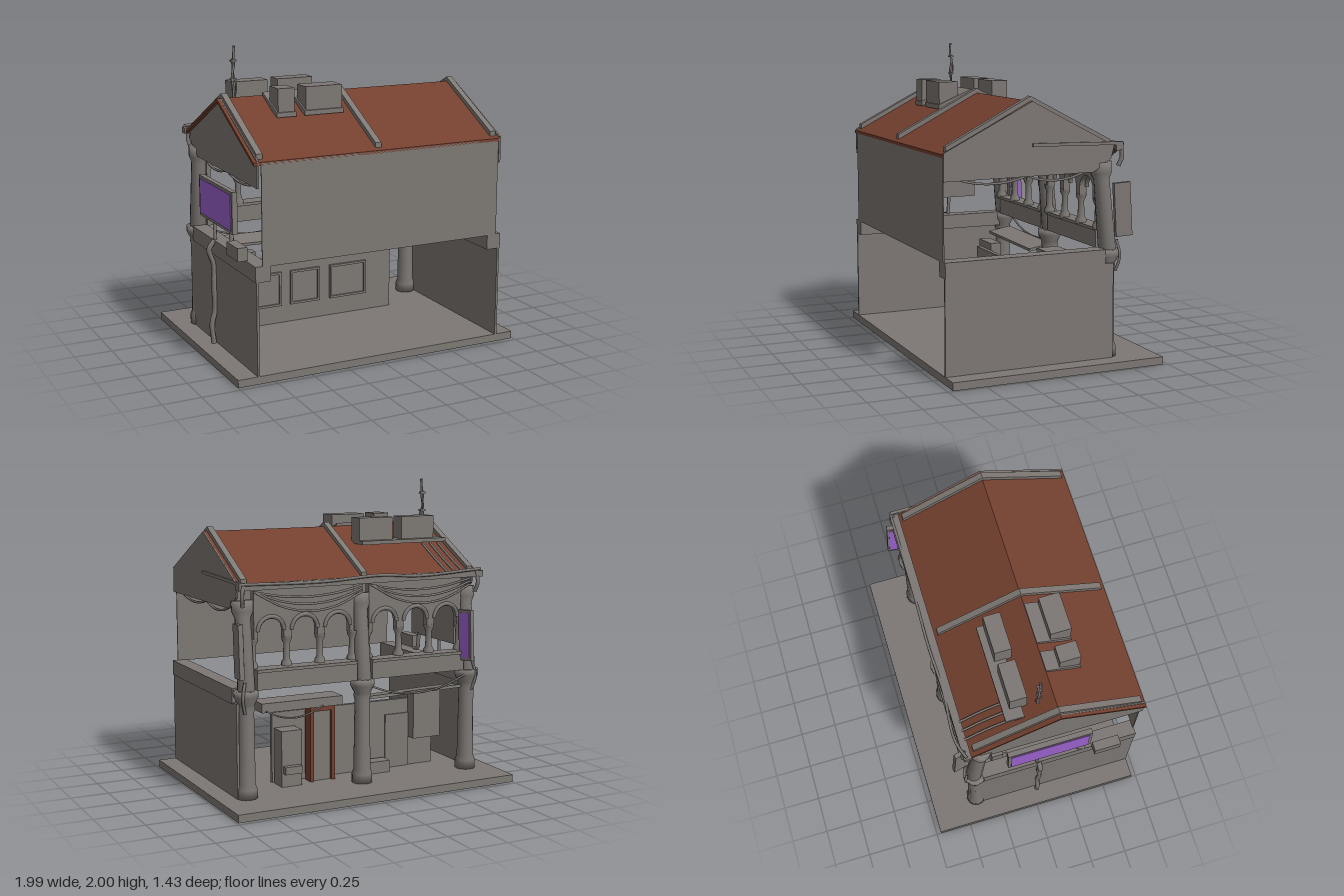
import * as THREE from 'three';

const mat = (name, color) => {
  const m = new THREE.MeshStandardMaterial({ color, side: THREE.DoubleSide });
  m.name = name;
  return m;
};

export function createModel() {
  const root = new THREE.Group();
  const grey = mat('stone grey', 0x7d7874);
  const brown = mat('roof brown', 0x74402f);
  const purple = mat('screen purple', 0x9a62cc);

  const add = (name, geo, m = grey) => {
    const mesh = new THREE.Mesh(geo, m);
    mesh.name = name;
    root.add(mesh);
    return mesh;
  };
  // box given by its limits on each axis
  const box = (name, x0, x1, y0, y1, z0, z1, m) => {
    const mesh = add(name, new THREE.BoxGeometry(x1 - x0, y1 - y0, z1 - z0), m);
    mesh.position.set((x0 + x1) / 2, (y0 + y1) / 2, (z0 + z1) / 2);
    return mesh;
  };
  // (z, y) outline extruded along x
  const slab = (name, pts, x0, x1, m) => {
    const s = new THREE.Shape(pts.map(p => new THREE.Vector2(...p)));
    const g = new THREE.ExtrudeGeometry(s, { depth: x1 - x0, bevelEnabled: false });
    g.rotateY(-Math.PI / 2).translate(x1, 0, 0);
    return add(name, g, m);
  };
  const tube = (name, pts, r = 0.008, m) => {
    const c = new THREE.CatmullRomCurve3(pts.map(p => new THREE.Vector3(...p)));
    return add(name, new THREE.TubeGeometry(c, pts.length * 5, r, 6), m);
  };
  const sag = (name, a, b, drop, r) => tube(name,
    [0, 0.25, 0.5, 0.75, 1].map(t => [
      a[0] + (b[0] - a[0]) * t,
      a[1] + (b[1] - a[1]) * t - drop * 4 * t * (1 - t),
      a[2] + (b[2] - a[2]) * t]), r);
  const lathe = (name, pts, x, y, z) => {
    const mesh = add(name, new THREE.LatheGeometry(pts.map(p => new THREE.Vector2(...p)), 12));
    mesh.position.set(x, y, z);
    return mesh;
  };

  // ground slab, side walls and their ledges
  box('groundSlab', -1, 0.99, 0, 0.05, -0.72, 0.715);
  for (const s of [-1, 1]) {
    const a = s * 0.855, b = s * 0.87;
    box('sideWall', Math.min(a, b), Math.max(a, b), 0.05, 0.66, -0.42, 0.715);
    box('sideLedge', s > 0 ? 0.775 : -0.875, s > 0 ? 0.875 : -0.775, 0.65, 0.75, -0.36, 0.715);
  }
  box('frontPanel', -0.83, 0.84, 0.745, 1.385, 0.707, 0.715);

  // roof, gables and roof ribs
  const chevron = (zf, zb, yf, yb, peak, t) => [
    [zf, yf], [0.14, peak], [zb, yb], [zb, yb - t], [0.14, peak - t], [zf, yf - t]];
  slab('roof', chevron(0.715, -0.44, 1.39, 1.39, 1.69, 0.02), -0.88, 0.85, brown);
  for (const x of [-0.83, -0.03, 0.81])
    slab('roofRib', chevron(0.69, -0.41, 1.435, 1.435, 1.72, 0.055), x - 0.02, x + 0.02);
  const gable = [[0.715, 1.23], [0.715, 1.4], [0.14, 1.69], [-0.42, 1.4], [-0.4, 1.32], [-0.28, 1.24]];
  slab('gableRight', gable, 0.845, 0.858);
  slab('gableLeft', gable, -0.858, -0.845);
  box('gutter', -0.89, 0.87, 1.37, 1.41, -0.48, -0.43);
  const pole = box('eavePole', 0.85, 0.87, 1.41, 1.43, -0.48, 0.14);
  pole.rotation.x = -0.02;

  // three tall columns, lower and upper part
  for (const x of [-0.82, -0.02, 0.8]) {
    lathe('lowerColumn', [[0, 0], [0.068, 0], [0.068, 0.06], [0.056, 0.09], [0.05, 0.55],
      [0.058, 0.58], [0.054, 0.6], [0.08, 0.65], [0.08, 0.69], [0, 0.69]], x, 0.05, -0.405);
    const up = lathe('upperColumn', [[0, 0], [0.056, 0], [0.05, 0.46], [0.068, 0.5],
      [0.07, 0.57], [0, 0.57]], x, 0.73, -0.41);
    up.rotation.x = 0.1;
  }

  // balcony beam and arcade in each bay
  for (const x0 of [-0.77, 0.04]) {
    const w = 0.7, n = 3, pitch = w / n, r = 0.09;
    box('balconyBeam', x0, x0 + w, 0.74, 0.85, -0.45, -0.36);
    box('balconyRail', x0, x0 + w, 0.85, 0.87, -0.46, -0.35);
    const s = new THREE.Shape();
    s.moveTo(x0, 1.05);
    for (let i = 0; i < n; i++) {
      const c = x0 + pitch * (i + 0.5);
      s.lineTo(c - r, 1.05);
      s.absarc(c, 1.1, r, Math.PI, 0, true);
      s.lineTo(c + r, 1.05);
      const ring = new THREE.TorusGeometry(r, 0.014, 6, 16, Math.PI);
      add('archMoulding', ring.translate(c, 1.1, -0.4));
    }
    s.lineTo(x0 + w, 1.05);
    s.lineTo(x0 + w, 1.38);
    s.lineTo(x0, 1.38);
    const g = new THREE.ExtrudeGeometry(s, { depth: 0.05, bevelEnabled: false, curveSegments: 10 });
    add('archWall', g.translate(0, 0, -0.4));
    for (let i = 0; i <= n; i++)
      lathe('smallColumn', [[0.035, 0], [0.035, 0.03], [0.022, 0.05], [0.02, 0.15],
        [0.034, 0.18], [0.034, 0.2]], x0 + pitch * i, 0.86, -0.375);
    for (let k = 0; k < 3; k++)
      sag('eaveCable', [x0 - 0.03, 1.36 - k * 0.02, -0.46], [x0 + w + 0.03, 1.36, -0.47 - k * 0.008], 0.05 + k * 0.035);
  }

  // inner wall with framed windows
  box('innerWall', -0.69, 0.52, 0.05, 0.52, -0.17, -0.14);
  for (const [a, b] of [[-0.57, -0.33], [-0.26, -0.04], [0.04, 0.32]]) {
    box('windowPane', a + 0.01, b - 0.01, 0.19, 0.4, -0.14, -0.135);
    for (const y of [0.175, 0.4]) box('windowFrame', a, b, y, y + 0.015, -0.14, -0.122);
    for (const x of [a, b - 0.015]) box('windowFrame', x, x + 0.015, 0.18, 0.41, -0.14, -0.122);
  }

  // objects behind the inner wall
  box('shutterBox', -0.71, -0.5, 0.25, 0.57, -0.25, -0.17);
  box('backDoor', -0.5, -0.32, 0.05, 0.42, -0.18, -0.17);
  box('floorCrate', -0.3, -0.1, 0.05, 0.13, -0.28, -0.19);
  box('doorPanel', 0.13, 0.27, 0.05, 0.52, -0.25, -0.2);
  for (const x of [0.11, 0.265]) box('doorPost', x, x + 0.025, 0.05, 0.56, -0.27, -0.19, brown);
  box('doorLintel', 0.11, 0.29, 0.52, 0.56, -0.27, -0.19, brown);
  box('machine', 0.37, 0.51, 0.05, 0.42, -0.3, -0.18);
  box('machineSide', 0.365, 0.37, 0.05, 0.42, -0.3, -0.18, brown);
  box('machineTray', 0.38, 0.5, 0.14, 0.19, -0.34, -0.3);
  const awning = box('awningLeft', -0.76, -0.06, 0.6, 0.62, -0.44, -0.27);
  awning.rotation.set(0.15, 0, -0.02);
  box('awningRight', 0.12, 0.69, 0.58, 0.64, -0.4, -0.24);
  sag('lowCable', [0.28, 0.6, -0.44], [0.68, 0.6, -0.44], 0.06, 0.006);
  sag('lowCable', [-0.8, 0.72, -0.46], [0, 0.72, -0.46], 0.1, 0.007);

  // side billboard with pipe supports
  box('billboard', -0.885, -0.85, 0.87, 1.14, -0.19, 0.38);
  box('billboardScreen', -0.89, -0.885, 0.89, 1.12, -0.17, 0.36, purple);
  tube('billboardPipe', [[-0.86, 0.75, 0.35], [-0.86, 0.77, 0.31], [-0.86, 0.82, 0.3], [-0.86, 0.89, 0.29]], 0.015);
  tube('billboardPipe', [[-0.86, 0.74, 0.02], [-0.86, 0.8, 0.015], [-0.86, 0.89, 0.01]], 0.012);
  box('wallUnit', -0.935, -0.87, 0.755, 0.84, 0.4, 0.58);
  tube('drainPipe', [[-0.87, 0.75, 0.03], [-0.91, 0.69, 0.03], [-0.88, 0.58, 0.03],
    [-0.885, 0.42, 0.04], [-0.88, 0.27, 0.03], [-0.9, 0.18, 0.03], [-0.89, 0.05, 0.03]], 0.017);

  // hanging signs on the corner columns
  for (const [x, tilt] of [[0.875, 1], [-0.77, -1]]) {
    const sign = new THREE.Group();
    sign.name = 'hangingSign';
    const frame = new THREE.Mesh(new THREE.BoxGeometry(0.03, 0.34, 0.11), grey);
    const face = new THREE.Mesh(new THREE.BoxGeometry(0.006, 0.3, 0.085), purple);
    face.position.x = -tilt * 0.017;
    frame.name = 'signFrame';
    face.name = 'signFace';
    sign.add(frame, face);
    sign.position.set(x, tilt > 0 ? 1 : 0.98, -0.475);
    sign.rotation.set(0.06, tilt > 0 ? -0.08 : 0.25, 0);
    root.add(sign);
  }

  // roof units
  for (const [a, b] of [[-0.56, -0.45], [-0.37, -0.12]]) {
    box('frontRoofUnit', a, b, 1.6, 1.76, 0.23, 0.365);
    slab('unitSkirt', [[0.37, 1.58], [0.37, 1.61], [0.14, 1.71], [0.14, 1.66]], a - 0.01, b + 0.01);
  }
  box('rearUnitTray', -0.78, -0.14, 1.585, 1.61, -0.18, -0.06);
  for (const x of [-0.71, -0.39]) box('rearRoofUnit', x, x + 0.25, 1.59, 1.76, -0.135, -0.025);

  // antenna
  tube('antennaMast', [[-0.73, 1.6, 0.04], [-0.725, 1.72, 0.04], [-0.735, 1.8, 0.045],
    [-0.72, 1.88, 0.04], [-0.725, 1.93, 0.05], [-0.72, 2, 0.048]], 0.008);
  tube('antennaWire', [[-0.715, 1.65, 0.03], [-0.71, 1.75, 0.05], [-0.72, 1.82, 0.03], [-0.735, 1.92, 0.045]], 0.006);
  for (const y of [1.78, 1.9]) box('antennaArm', -0.745, -0.705, y, y + 0.012, 0.03, 0.055);

  // cables on the rear roof slope and under the gables
  for (const x of [-0.76, -0.7, -0.64])
    tube('roofCable', [[x, 1.405, -0.44], [x + 0.005, 1.48, -0.29], [x, 1.57, -0.11]], 0.008);
  for (const s of [-1, 1]) {
    sag('sideCable', [s * 0.83, 1.25, 0.66], [s * 0.83, 1.25, 0.12], 0.05);
    sag('sideCable', [s * 0.83, 1.25, 0.2], [s * 0.83, 1.25, -0.25], 0.05);
    tube('cornerCable', [[s * 0.84, 1.42, -0.47], [s * 0.85, 1.33, -0.48], [s * 0.84, 1.27, -0.46]], 0.014);
    tube('cornerCable', [[s * 0.83, 0.8, -0.46], [s * 0.85, 0.7, -0.475], [s * 0.83, 0.6, -0.455]], 0.01);
  }
  tube('gutterCable', [[-0.88, 1.42, -0.46], [-0.76, 1.42, -0.5], [-0.4, 1.4, -0.48],
    [-0.1, 1.42, -0.49], [0.3, 1.4, -0.48], [0.86, 1.41, -0.48]], 0.01);
  return root;
}
